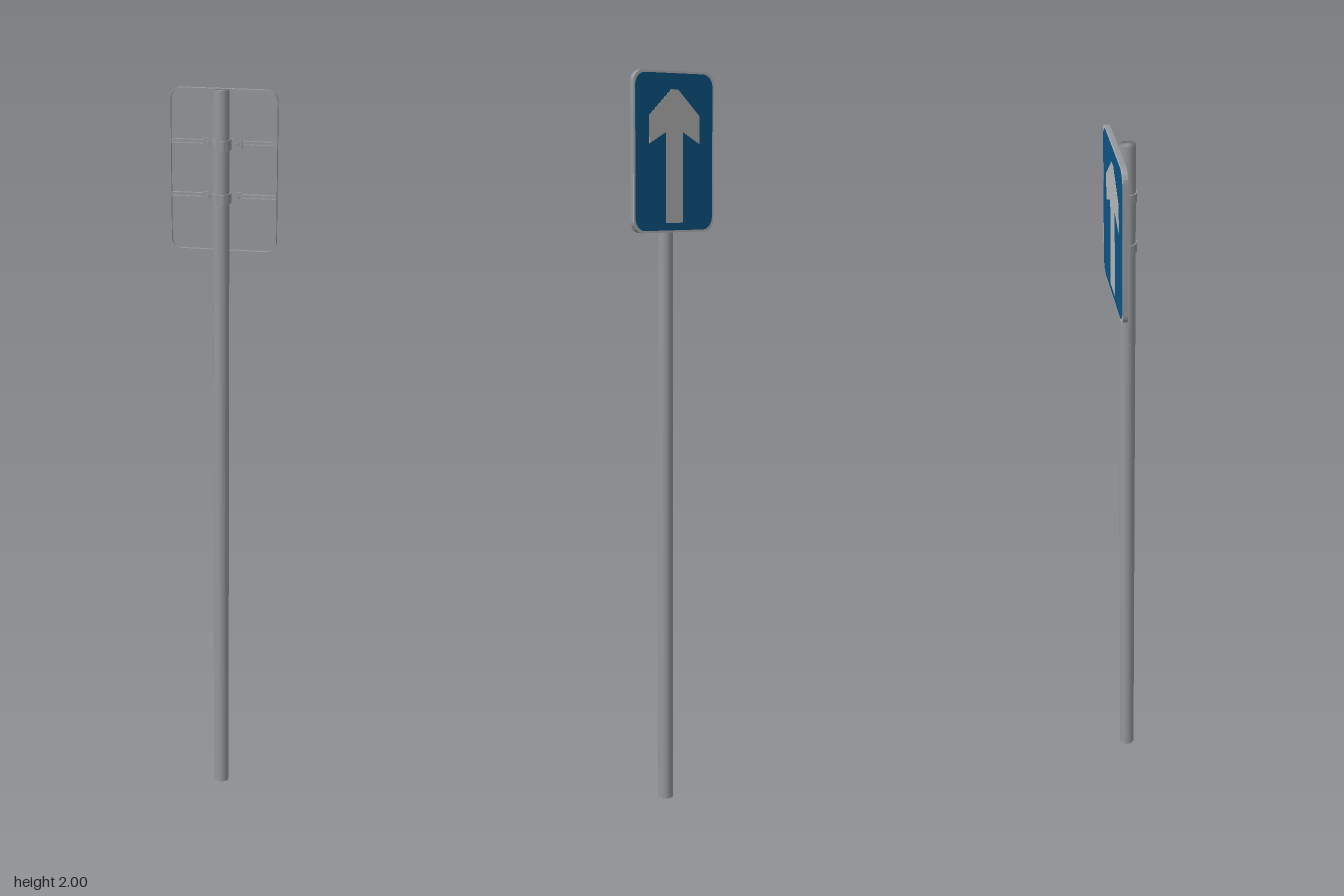
import * as THREE from 'three';
import { toCreasedNormals } from 'three/addons/utils/BufferGeometryUtils.js';

const W = 0.28, H = 0.42, CY = 1.79, POLE_Z = 0.006;

// Rounded rectangle centred on the panel
function roundedRect(w, h, r, Type = THREE.Shape) {
  const s = new Type(), x = w / 2, y = h / 2;
  s.absarc(x - r, CY + y - r, r, 0, Math.PI / 2);
  s.absarc(-x + r, CY + y - r, r, Math.PI / 2, Math.PI);
  s.absarc(-x + r, CY - y + r, r, Math.PI, Math.PI * 1.5);
  s.absarc(x - r, CY - y + r, r, Math.PI * 1.5, Math.PI * 2);
  s.closePath();
  return s;
}

function slab(shape, z0, z1) {
  const g = new THREE.ExtrudeGeometry(shape, { depth: z1 - z0, bevelEnabled: false, curveSegments: 8 });
  return toCreasedNormals(g.translate(0, 0, z0), 0.6);
}

export function createModel() {
  const group = new THREE.Group();
  const material = (name, color) => {
    const m = new THREE.MeshStandardMaterial({ color });
    m.name = name;
    return m;
  };
  const metal = material('galvanised grey', 0x94979b);
  const blue = material('sign blue', 0x0b5586);
  const pale = material('pale grey', 0xb8b9ba);

  const add = (name, geometry, mat, parent = group) => {
    const m = new THREE.Mesh(geometry, mat);
    m.name = name;
    parent.add(m);
    return m;
  };

  // Pole: closed profile with normals softened over the end caps
  const profile = [[0, 0], [0.0205, 0], [0.0205, 2], [0, 2]].map(p => new THREE.Vector2(...p));
  add('pole', new THREE.LatheGeometry(profile, 32), metal).position.z = POLE_Z;

  // Shallow tray: back sheet and folded rim
  add('panelSheet', slab(roundedRect(W, H, 0.03), -0.0295, -0.027), metal);
  const rim = roundedRect(W, H, 0.03);
  rim.holes.push(roundedRect(W - 0.006, H - 0.006, 0.027, THREE.Path));
  add('panelRim', slab(rim, -0.027, -0.017), metal);

  // Sign face: pale border, blue field and arrow
  add('signBorder', slab(roundedRect(W, H, 0.03), -0.0303, -0.0295), pale);
  add('signField', slab(roundedRect(W - 0.011, H - 0.011, 0.034), -0.0308, -0.0303), blue);
  const half = [[0.012, 1.953], [0.088, 1.885], [0.088, 1.812], [0.03, 1.842], [0.03, 1.605]];
  const outline = [...half, ...half.map(([x, y]) => [-x, y]).reverse()];
  const arrow = new THREE.Shape(outline.map(p => new THREE.Vector2(...p)));
  add('arrow', slab(arrow, -0.0314, -0.0308), pale);

  // Clamp strap outline, drawn in plan with shape y = -z
  const strap = new THREE.Shape();
  const ro = 0.0235, ri = 0.0205, c = -POLE_Z;
  strap.moveTo(-0.051, 0.011);
  strap.lineTo(-0.051, 0.008);
  strap.lineTo(-ro, 0.008);
  strap.lineTo(-ro, c);
  strap.absarc(0, c, ro, Math.PI, Math.PI * 2);
  strap.lineTo(ro, 0.008);
  strap.lineTo(0.051, 0.008);
  strap.lineTo(0.051, 0.011);
  strap.lineTo(ri, 0.011);
  strap.lineTo(ri, c);
  strap.absarc(0, c, ri, Math.PI * 2, Math.PI, true);
  strap.lineTo(-ri, 0.011);
  strap.closePath();
  const strapGeo = toCreasedNormals(new THREE.ExtrudeGeometry(strap, {
    depth: 0.026, bevelEnabled: false, curveSegments: 20,
  }).translate(0, 0, -0.013).rotateX(-Math.PI / 2), 0.6);

  const bolt = (r, z0, z1, sides) =>
    new THREE.CylinderGeometry(r, r, z1 - z0, sides).rotateX(Math.PI / 2).translate(0, 0, (z0 + z1) / 2);

  for (const y of [1.863, 1.725]) {
    const mount = new THREE.Group();
    mount.name = 'mount';
    mount.position.y = y;
    group.add(mount);

    // Channel rail across the tray
    add('railWeb', new THREE.BoxGeometry(0.274, 0.012, 0.002), metal, mount).position.z = -0.026;
    for (const s of [-1, 1]) {
      add('railFlange', new THREE.BoxGeometry(0.274, 0.003, 0.009), metal, mount)
        .position.set(0, s * 0.0045, -0.0215);
    }

    // Strap around the pole, bolted on both sides
    add('clampStrap', strapGeo, metal, mount);
    for (const x of [-0.038, 0.038]) {
      add('boltShank', bolt(0.003, -0.026, 0.002, 12), metal, mount).position.x = x;
      add('washer', bolt(0.0075, -0.008, -0.0065, 16), metal, mount).position.x = x;
      add('nut', bolt(0.0058, -0.0065, -0.002, 6), metal, mount).position.x = x;
    }
  }
  return group;
}
